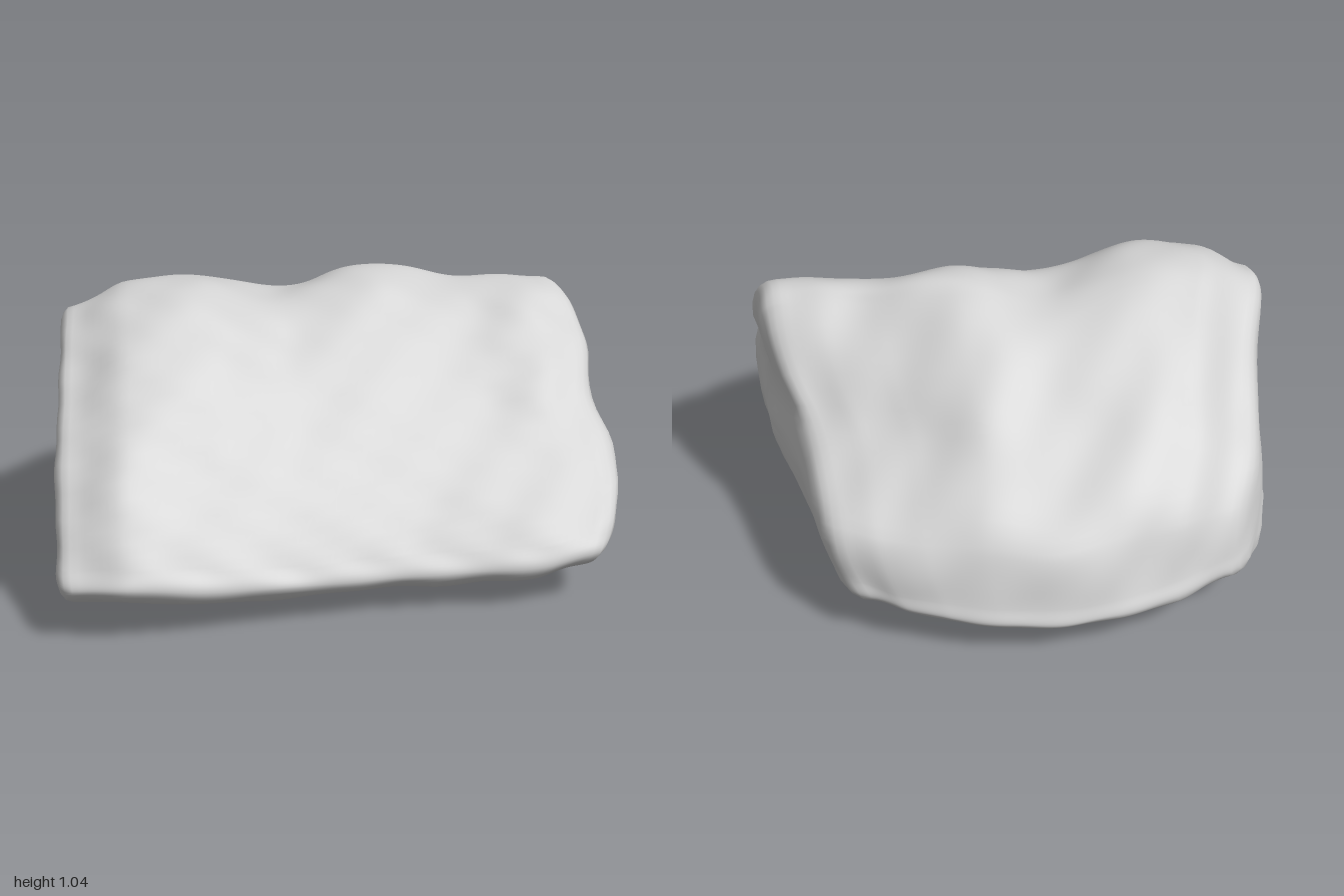
import * as THREE from 'three';

// Stations along x: u, front z, front edge y, front bulge, ridge z, ridge y, ridge width, back bulge, back z, back edge y, floor y
const STATIONS = [
  [-1.0, 0.93, 0.20, 0.03, 0.17, 0.94, 0.18, 0.05, -0.78, 0.20, 0.05],
  [-0.8, 0.97, 0.21, 0.045, 0.17, 1.02, 0.24, 0.07, -0.87, 0.18, 0.05],
  [-0.5, 0.92, 0.17, 0.035, 0.17, 1.04, 0.27, 0.07, -0.95, 0.17, 0.04],
  [-0.15, 0.88, 0.15, 0.03, 0.12, 0.955, 0.32, 0.06, -0.98, 0.16, 0.03],
  [0.25, 0.83, 0.14, 0.025, 0.02, 1.04, 0.16, 0.06, -0.97, 0.16, 0.03],
  [0.6, 0.83, 0.15, 0.015, 0.01, 0.99, 0.12, 0.03, -0.94, 0.17, 0.01],
  [0.85, 0.83, 0.16, 0.005, 0.04, 1.00, 0.13, 0.00, -0.90, 0.18, 0.07],
  [1.0, 0.81, 0.19, -0.005, 0.04, 0.99, 0.13, -0.02, -0.85, 0.20, 0.11],
];
// End outlines seen from above: z, x
const RIGHT_END = [[-0.98, 0.57], [-0.8, 0.64], [-0.6, 0.70], [-0.4, 0.77], [-0.1, 0.88], [0.05, 0.92], [0.2, 0.96], [0.35, 0.98], [0.53, 1.0], [0.77, 0.98], [1, 0.95]];
const LEFT_END = [[-0.98, -0.68], [-0.8, -0.80], [-0.7, -0.87], [-0.55, -0.94], [-0.35, -0.985], [0, -0.99], [0.9, -1], [1, -0.98]];
// How far the right end is undercut or hollowed at each height: y, inset
const RIGHT_HOLLOW = [[0, 0.16], [0.13, 0.10], [0.22, 0.05], [0.33, 0.01], [0.45, 0], [0.63, 0.035], [0.75, 0.005], [0.9, 0], [1.05, 0.03]];

// Smoothly interpolated row lookup keyed on the first column
function sample(rows, t) {
  let i = 0;
  while (i < rows.length - 2 && t > rows[i + 1][0]) i++;
  const k = THREE.MathUtils.clamp((t - rows[i][0]) / (rows[i + 1][0] - rows[i][0]), 0, 1);
  const at = (n) => rows[THREE.MathUtils.clamp(n, 0, rows.length - 1)];
  return rows[i].map((_, c) => 0.5 * (2 * at(i)[c] + (at(i + 1)[c] - at(i - 1)[c]) * k
    + (2 * at(i - 1)[c] - 5 * at(i)[c] + 4 * at(i + 1)[c] - at(i + 2)[c]) * k * k
    + (3 * at(i)[c] - at(i - 1)[c] - 3 * at(i + 1)[c] + at(i + 2)[c]) * k * k * k));
}

// Rounded triangular slice through the rock
function slice(u, count) {
  const [, f, fy, fb, r, h, w, bb, b, by, low] = sample(STATIONS, u);
  const mix = THREE.MathUtils.lerp;
  const back = r - w;
  const pts = [
    [f, fy],
    [mix(f, r, 0.06) + 0.01, mix(fy, h, 0.09)],
    [mix(f, r, 0.4) + fb, mix(fy, h, 0.42) + fb],
    [mix(f, r, 0.75) + fb * 0.8, mix(fy, h, 0.78) + fb * 0.8],
    [r + 0.03, h - 0.02], [r - w * 0.5, h],
    [back, h - 0.04],
    [mix(back, b, 0.42) - bb * 0.7, mix(h, by, 0.42) + bb * 0.7],
    [mix(back, b, 0.8) - 0.06, mix(h, by, 0.72) + 0.02],
    [b + 0.02, by + 0.06], [b, by], [b + 0.1, by - 0.06],
    [-0.45, low + 0.04], [0, low + 0.02], [0.45, low],
    [f - 0.1, fy - 0.08],
  ];
  const curve = new THREE.CatmullRomCurve3(pts.map(([z, y]) => new THREE.Vector3(0, y, z)), true);
  return Array.from({ length: count }, (_, j) => curve.getPoint(j / count));
}

// The left end leans inward towards its upper back corner
const leftEnd = (y, z) => sample(LEFT_END, z)[1]
  + 0.15 * Math.max(0, y - 0.2) * THREE.MathUtils.smoothstep(-z, -0.1, 0.4);
const rightEnd = (y, z) => sample(RIGHT_END, z)[1] - sample(RIGHT_HOLLOW, y)[1];

// Broad lumps and fine chips on the stone
function roughness(x, y, z) {
  return 0.005 * Math.sin(5.1 * x + 3.3 * y + 1) * Math.sin(4.3 * z - 2.7 * y + 2)
    + 0.005 * Math.sin(9.7 * x - 7.1 * z + 0.5) * Math.sin(11.3 * y + 6.2 * z)
    + 0.004 * Math.sin(21 * x + 13 * y) * Math.sin(19 * z - 17 * y + 1.3);
}

function rockGeometry() {
  const around = 128, along = 72;
  // Rings run from the left cap, along the body, to the right cap: u, scale, inset
  const cap = [[0, 0], [0.2, 0], [0.4, 0], [0.6, 0], [0.8, 0], [0.91, 0.003], [0.96, 0.015], [0.99, 0.032]];
  const rings = cap.map(([s, inset]) => [-1, s, inset]);
  for (let i = 0; i <= along; i++) rings.push([-1 + 2 * i / along, 1, 0.055]);
  cap.slice().reverse().forEach(([s, inset]) => rings.push([1, s, inset]));

  const positions = [], index = [];
  rings.forEach(([u, s, inset], i) => {
    slice(u, around).forEach((p, j) => {
      const z = 0.05 + (p.z - 0.05) * s;
      const y = 0.42 + (p.y - 0.42) * s;
      const x0 = leftEnd(y, z) + inset;
      const x1 = rightEnd(y, z) - inset * 1.3;
      positions.push(THREE.MathUtils.lerp(x0, x1, (u + 1) / 2), y, z);
      if (i === rings.length - 1) return;
      const a = i * around + j, d = i * around + (j + 1) % around;
      index.push(a, a + around, d + around, a, d + around, d);
    });
  });
  const geo = new THREE.BufferGeometry();
  geo.setAttribute('position', new THREE.Float32BufferAttribute(positions, 3));
  geo.setIndex(index);
  geo.computeVertexNormals();

  // Push the surface in and out along its normals
  const pos = geo.attributes.position, nor = geo.attributes.normal;
  for (let i = 0; i < pos.count; i++) {
    const x = pos.getX(i), y = pos.getY(i), z = pos.getZ(i), d = roughness(x, y, z);
    pos.setXYZ(i, x + nor.getX(i) * d, y + nor.getY(i) * d, z + nor.getZ(i) * d);
  }
  geo.computeVertexNormals();

  // Settle on the ground and centre
  geo.computeBoundingBox();
  const box = geo.boundingBox;
  geo.translate(-(box.min.x + box.max.x) / 2, -box.min.y, -(box.min.z + box.max.z) / 2);
  return geo;
}

export function createModel() {
  const stone = new THREE.MeshStandardMaterial({ color: 0xd0d0d0 });
  stone.name = 'grey stone';
  const rock = new THREE.Mesh(rockGeometry(), stone);
  rock.name = 'rock';
  const group = new THREE.Group();
  group.name = 'wedge boulder';
  group.add(rock);
  return group;
}
